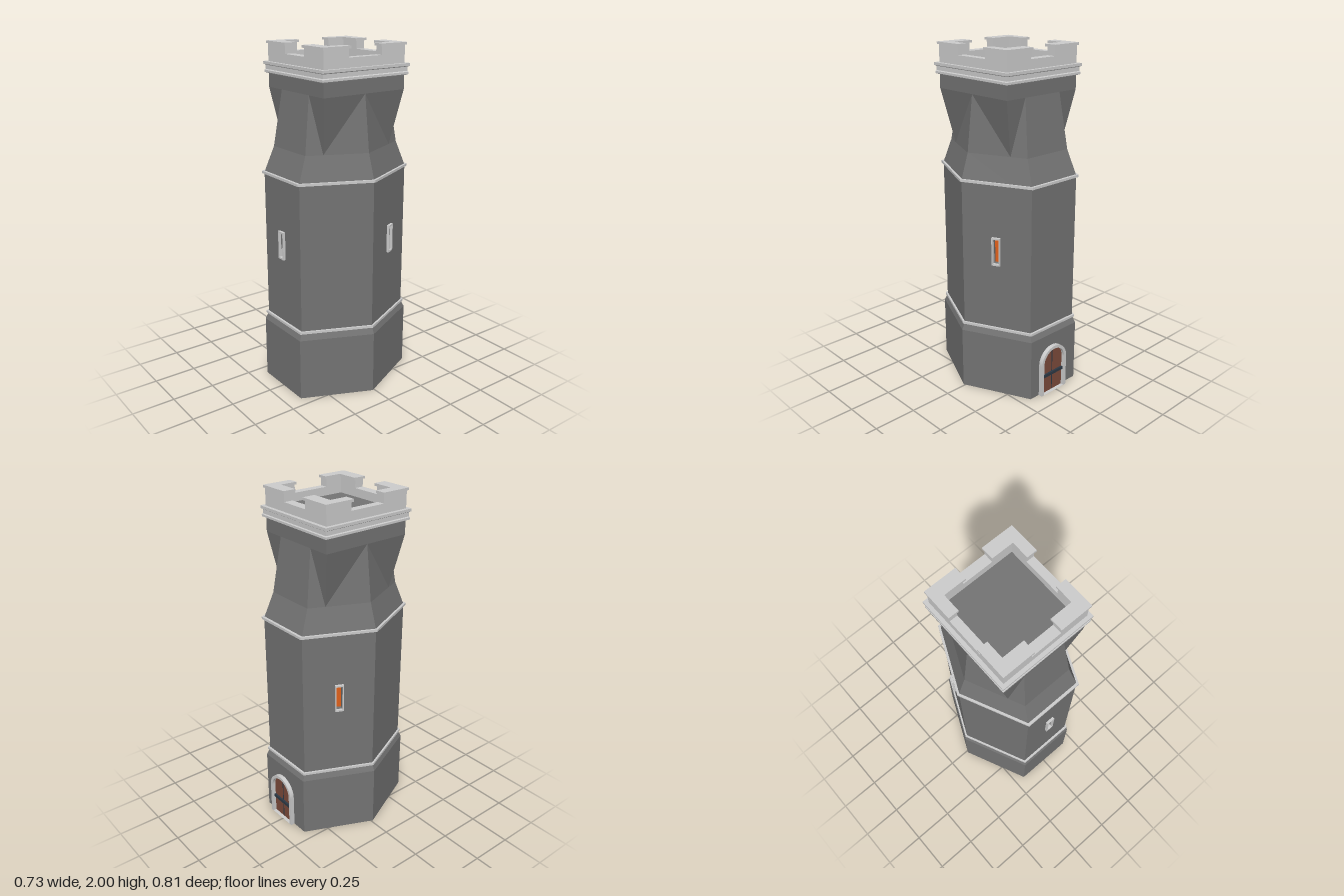
import * as THREE from 'three';

const mat = (color) => new THREE.MeshStandardMaterial({ color, flatShading: true });
const stone = mat(0x737373), trim = mat(0xcccccc);
const glow = mat(0xe0601a), wood = mat(0x7a4a3a), iron = mat(0x2c3844);

function add(parent, name, geometry, material) {
  const mesh = new THREE.Mesh(geometry, material);
  mesh.name = name;
  parent.add(mesh);
  return mesh;
}

// Stretched hexagon with an extra point on each slanted side; (cx, cz) pulls those points to a square's corners
const SPLIT = 0.72;
function hexRing(y, rx, hx, hz, cx = rx + (hx - rx) * SPLIT, cz = hz * SPLIT) {
  return [[rx, 0], [cx, cz], [hx, hz], [-hx, hz], [-cx, cz],
    [-rx, 0], [-cx, -cz], [-hx, -hz], [hx, -hz], [cx, -cz]].map(([x, z]) => [x, y, z]);
}
const rectRing = (y, x, z) => [[x, y, -z], [x, y, z], [-x, y, z], [-x, y, -z]];

// Closed flat-faced solid through a stack of rings
function loft(rings, flipped = []) {
  const v = [];
  const n = rings[0].length;
  for (let k = 0; k + 1 < rings.length; k++) {
    for (let i = 0; i < n; i++) {
      const j = (i + 1) % n;
      const a0 = rings[k][i], b0 = rings[k][j], a1 = rings[k + 1][i], b1 = rings[k + 1][j];
      if (flipped.includes(j)) v.push(a0, a1, b0, b0, a1, b1);
      else v.push(a0, a1, b1, a0, b1, b0);
    }
  }
  const bottom = rings[0], top = rings[rings.length - 1];
  for (let i = 1; i + 1 < n; i++) {
    v.push(bottom[0], bottom[i], bottom[i + 1], top[0], top[i + 1], top[i]);
  }
  const g = new THREE.BufferGeometry();
  g.setAttribute('position', new THREE.Float32BufferAttribute(v.flat(), 3));
  g.computeVertexNormals();
  return g;
}

const polygon = (pts) => new THREE.Shape(pts.map(([x, y]) => new THREE.Vector2(x, y)));
const rect = (x, y0, y1) => polygon([[-x, y0], [x, y0], [x, y1], [-x, y1]]);
function extrude(shape, depth, z = 0, hole = null) {
  if (hole) shape.holes.push(hole);
  return new THREE.ExtrudeGeometry(shape, { depth, bevelEnabled: false, curveSegments: 16 }).translate(0, 0, z);
}
// Extrusion that rises from y0 to y1
const rise = (shape, y0, y1, hole) => extrude(shape, y1 - y0, 0, hole).rotateX(-Math.PI / 2).translate(0, y0, 0);

// Round-topped outline standing on the ground
function arch(r, spring) {
  const s = new THREE.Shape();
  s.moveTo(-r, 0).lineTo(r, 0).lineTo(r, spring);
  s.absarc(0, spring, r, 0, Math.PI, false);
  s.lineTo(-r, 0);
  return s;
}

// One flat wall of the shaft, with an optional lit slit window
function wallPanel(parent, p, q, hasWindow) {
  const panel = new THREE.Group();
  panel.name = 'shaftWall';
  const dx = q[0] - p[0], dz = q[1] - p[1];
  panel.position.set((p[0] + q[0]) / 2, 0, (p[1] + q[1]) / 2);
  panel.rotation.y = Math.atan2(dz, -dx);
  // make the panel face away from the tower axis
  panel.rotation.y = Math.atan2(panel.position.x * dz * dz - panel.position.z * dx * dz,
    panel.position.z * dx * dx - panel.position.x * dx * dz);
  const hole = () => rect(0.018, 0.82, 0.965);
  add(panel, 'wall', extrude(rect(Math.hypot(dx, dz) / 2, 0.4, 1.285), 0.03, -0.03, hasWindow ? hole() : null), stone);
  if (hasWindow) {
    add(panel, 'windowFrame', extrude(rect(0.025, 0.81, 0.975), 0.025, -0.01, hole()), trim);
    add(panel, 'windowPane', extrude(rect(0.02, 0.815, 0.97), 0.005, -0.03), glow);
  }
  parent.add(panel);
}

export function createModel() {
  const tower = new THREE.Group();
  tower.name = 'tower';
  const body = new THREE.Group();
  body.name = 'body';
  body.position.z = 0.011;
  tower.add(body);

  // Plinth with a chamfered top
  add(body, 'plinth', loft([hexRing(0, 0.367, 0.185, 0.392), hexRing(0.37, 0.367, 0.185, 0.392),
    hexRing(0.412, 0.348, 0.175, 0.373)]), stone);

  // Shaft: six walls, three with windows
  const c = [[0.348, 0], [0.175, 0.373], [-0.175, 0.373], [-0.348, 0], [-0.175, -0.373], [0.175, -0.373]];
  c.forEach((p, i) => wallPanel(body, p, c[(i + 1) % 6], [1, 3, 5].includes(i)));

  // Thin string courses
  for (const y of [0.408, 1.277]) {
    add(body, 'stringCourse', loft([hexRing(y, 0.36, 0.181, 0.386), hexRing(y + 0.014, 0.36, 0.181, 0.386)]), trim);
  }

  // Neck: hexagon tapering, then breaking into a square
  add(body, 'neck', loft([
    hexRing(1.285, 0.348, 0.175, 0.373),
    hexRing(1.43, 0.3, 0.155, 0.318),
    hexRing(1.745, 0.262, 0.13, 0.273, 0.262, 0.273),
    hexRing(1.83, 0.262, 0.13, 0.273, 0.262, 0.273),
  ], [1, 4, 6, 9]), stone);

  // Crown moulding: two projecting bands
  add(body, 'crownMoulding', loft([
    [1.822, 0.265], [1.828, 0.279], [1.84, 0.279], [1.845, 0.274], [1.868, 0.274],
    [1.873, 0.283], [1.888, 0.283],
  ].map(([y, x]) => rectRing(y, x, x + 0.011))), trim);
  add(body, 'roofFloor', new THREE.BoxGeometry(0.435, 0.012, 0.44).translate(0, 1.886, 0), stone);

  // Parapet and four corner merlons with caps
  const box = (x, z) => rect(x, -z, z);
  add(body, 'parapet', rise(box(0.262, 0.273), 1.886, 1.94, box(0.215, 0.217)), trim);
  const corner = (ox, oz, ex, ez, ix, iz, sx, sz) => polygon(
    [[ex, oz], [ox, oz], [ox, ez], [ix, ez], [ix, iz], [ex, iz]].map(([x, z]) => [x * sx, z * sz]));
  for (const sx of [-1, 1]) {
    for (const sz of [-1, 1]) {
      add(body, 'merlon', rise(corner(0.262, 0.273, 0.09, 0.11, 0.215, 0.217, sx, sz), 1.938, 1.987), trim);
      add(body, 'merlonCap', rise(corner(0.27, 0.281, 0.081, 0.101, 0.21, 0.205, sx, sz), 1.986, 2), trim);
    }
  }

  // Arched double door in the back of the plinth
  const door = new THREE.Group();
  door.name = 'door';
  door.position.set(0.017, 0, -0.392);
  door.rotation.y = Math.PI;
  body.add(door);
  add(door, 'doorFrame', extrude(arch(0.102, 0.196), 0.035, -0.01, arch(0.084, 0.196)), trim);
  add(door, 'doorLeaves', extrude(arch(0.088, 0.196), 0.014, -0.01), wood);
  add(door, 'doorGap', new THREE.BoxGeometry(0.005, 0.276, 0.004).translate(0, 0.138, 0.004), iron);
  add(door, 'doorBar', new THREE.BoxGeometry(0.166, 0.018, 0.012).translate(0, 0.115, 0.009), iron);
  return tower;
}
